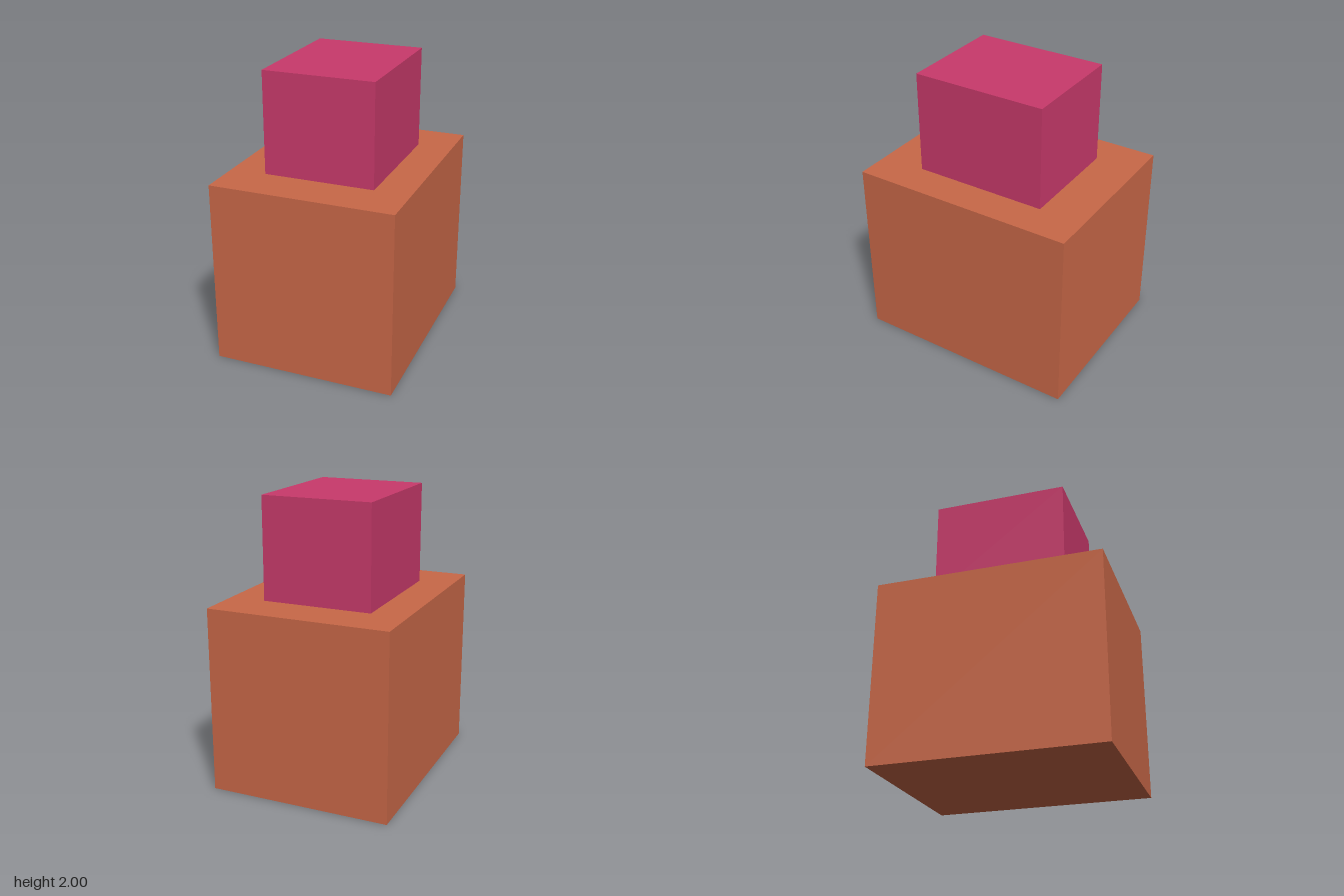
import * as THREE from 'three';

// Box resting on height y
function block(name, width, height, depth, y, color) {
  const mesh = new THREE.Mesh(
    new THREE.BoxGeometry(width, height, depth),
    new THREE.MeshStandardMaterial({ color })
  );
  mesh.name = name;
  mesh.position.y = y + height / 2;
  return mesh;
}

export function createModel() {
  const model = new THREE.Group();
  model.name = 'steppedBlocks';
  // Wide lower block with a smaller one centred on top
  model.add(block('lowerBlock', 1.27, 1.29, 1.575, 0, 0xc96848));
  model.add(block('upperBlock', 0.77, 0.71, 0.94, 1.29, 0xc93a6b));
  return model;
}
